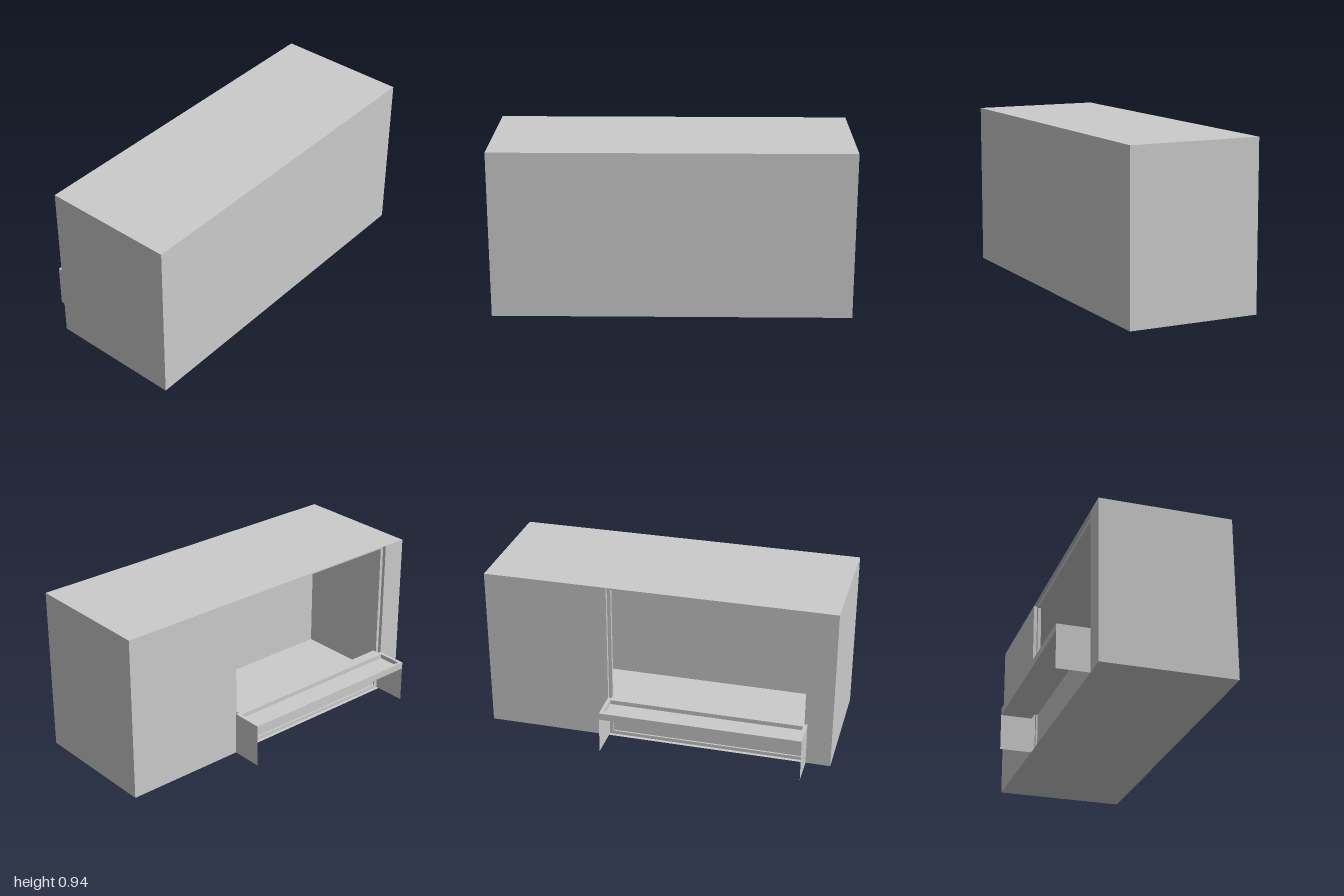
import * as THREE from 'three';

const W = 2, H = 0.945, BACK = -0.285, FRONT = 0.467;
const L = -0.86, R = 0.29;          // serving opening, in x
const TOP = 0.25, OUT = -0.467;     // counter height and outer edge

export function createModel() {
  const model = new THREE.Group();
  const solid = new THREE.MeshStandardMaterial({ color: 0xcccccc });
  const sheet = new THREE.MeshStandardMaterial({ color: 0xcccccc, side: THREE.DoubleSide });

  const add = (name, geometry, material, parent) => {
    const mesh = new THREE.Mesh(geometry, material);
    mesh.name = name;
    parent.add(mesh);
    return mesh;
  };
  // flat panel, given its size, centre and turn
  const panel = (name, w, h, pos, rot, parent) => {
    const m = add(name, new THREE.PlaneGeometry(w, h), sheet, parent);
    m.position.set(...pos);
    m.rotation.set(...rot);
  };
  // box between two corners
  const box = (name, a, b, parent) => {
    const m = add(name, new THREE.BoxGeometry(b[0] - a[0], b[1] - a[1], b[2] - a[2]), solid, parent);
    m.position.set((a[0] + b[0]) / 2, (a[1] + b[1]) / 2, (a[2] + b[2]) / 2);
  };
  const group = (name) => {
    const g = new THREE.Group();
    g.name = name;
    model.add(g);
    return g;
  };

  // hollow shell of thin walls
  const shell = group('shell');
  const depth = FRONT - BACK, midZ = (FRONT + BACK) / 2, q = Math.PI / 2;
  panel('frontWall', W, H, [0, H / 2, FRONT], [0, 0, 0], shell);
  panel('roof', W, depth, [0, H, midZ], [-q, 0, 0], shell);
  panel('floor', W, depth, [0, 0, midZ], [q, 0, 0], shell);
  for (const s of [-1, 1]) panel('sideWall', depth, H, [s, H / 2, midZ], [0, s * q, 0], shell);
  for (const [a, b] of [[-1, L], [R, 1]])
    panel('backWall', b - a, H, [(a + b) / 2, H / 2, BACK], [0, Math.PI, 0], shell);

  // opening: side reveals, recessed frame, lower infill
  const opening = group('servingOpening');
  const t = 0.02, z0 = BACK + 0.02, z1 = z0 + t;
  for (const x of [L, R])
    panel('reveal', z0 - BACK, H, [x, H / 2, (BACK + z0) / 2], [0, q, 0], opening);
  box('framePost', [L, 0, z0], [L + t, H, z1], opening);
  box('framePost', [R - t, 0, z0], [R, H, z1], opening);
  box('frameHead', [L + t, H - t, z0], [R - t, H, z1], opening);
  box('frameBottom', [L + t, 0, z0], [R - t, t, z1], opening);
  box('frameSill', [L + t, TOP - t, BACK], [R - t, TOP, z1], opening);
  panel('infillPanel', R - L - 2 * t, TOP - 2 * t, [(L + R) / 2, TOP / 2, z0 + 0.01], [0, Math.PI, 0], opening);

  // counter: raised rim around a sunken bed, on two thin end panels
  const counter = group('counter');
  const rect = (shape, x0, y0, x1, y1) =>
    shape.moveTo(x0, y0).lineTo(x1, y0).lineTo(x1, y1).lineTo(x0, y1).closePath();
  const rimShape = new THREE.Shape();
  rect(rimShape, L, -BACK, R, -OUT);
  const hole = new THREE.Path();
  rect(hole, L + 0.02, 0.31, R - 0.02, 0.45);
  rimShape.holes.push(hole);
  const rim = new THREE.ExtrudeGeometry(rimShape, { depth: 0.025, bevelEnabled: false });
  rim.rotateX(-q);
  add('counterRim', rim, solid, counter).position.y = TOP - 0.025;
  box('counterBed', [L, TOP - 0.04, OUT], [R, TOP - 0.025, BACK], counter);
  for (const x of [L, R])
    panel('endPanel', BACK - OUT, TOP - 0.04, [x, (TOP - 0.04) / 2, (BACK + OUT) / 2], [0, q, 0], counter);

  return model;
}
